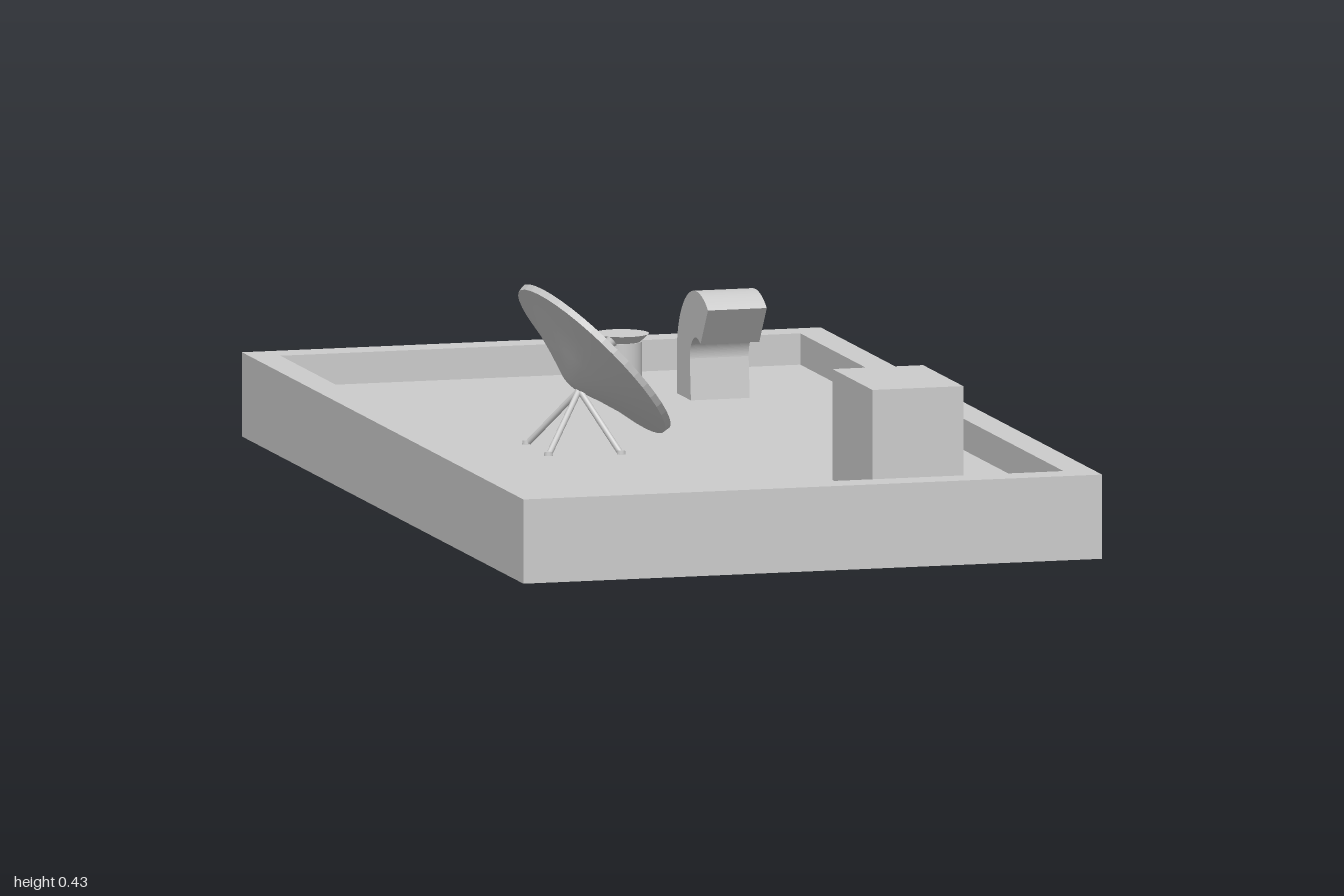
import * as THREE from 'three';

const FLOOR = 0.105;
const mat = new THREE.MeshStandardMaterial({ color: 0xcccccc });
const flat = new THREE.MeshStandardMaterial({ color: 0xcccccc, flatShading: true });
const UP = new THREE.Vector3(0, 1, 0);

function add(parent, name, geometry, material = mat) {
  const mesh = new THREE.Mesh(geometry, material);
  mesh.name = name;
  parent.add(mesh);
  return mesh;
}

// Box given by its lower and upper corners
function box(parent, name, [x0, y0, z0], [x1, y1, z1]) {
  const m = add(parent, name, new THREE.BoxGeometry(x1 - x0, y1 - y0, z1 - z0), flat);
  m.position.set((x0 + x1) / 2, (y0 + y1) / 2, (z0 + z1) / 2);
}

// Straight rod between two points
function rod(parent, name, a, b, ra, rb = ra) {
  const d = b.clone().sub(a);
  const m = add(parent, name, new THREE.CylinderGeometry(rb, ra, d.length(), 10));
  m.position.copy(a).addScaledVector(d, 0.5);
  m.quaternion.setFromUnitVectors(UP, d.normalize());
}

function rectangle(path, x, y) {
  path.moveTo(-x, -y);
  path.lineTo(x, -y);
  path.lineTo(x, y);
  path.lineTo(-x, y);
  path.closePath();
  return path;
}

function roof() {
  const g = new THREE.Group();
  g.name = 'roof';
  box(g, 'roofSlab', [-0.59, 0, -1], [0.59, FLOOR, 1]);
  // Parapet around the edge
  const ring = rectangle(new THREE.Shape(), 0.59, 1);
  ring.holes.push(rectangle(new THREE.Path(), 0.53, 0.935));
  const geo = new THREE.ExtrudeGeometry(ring, { depth: 0.167 - FLOOR, bevelEnabled: false });
  geo.rotateX(-Math.PI / 2).translate(0, FLOOR, 0);
  add(g, 'parapet', geo, flat);
  return g;
}

// Stair hut with a recessed doorway at the back
function stairHut() {
  const g = new THREE.Group();
  g.name = 'stairHut';
  const top = 0.315;
  box(g, 'hutBody', [0.175, FLOOR, 0.575], [0.36, top, 0.815]);
  box(g, 'hutRoof', [0.175, top, 0.53], [0.36, 0.325, 0.815]);
  box(g, 'leftJamb', [0.32, FLOOR, 0.53], [0.36, top, 0.575]);
  box(g, 'rightJamb', [0.175, FLOOR, 0.53], [0.19, top, 0.575]);
  return g;
}

// Curved rectangular air duct, drawn from the side and extruded across x
function airDuct() {
  const cz = -0.505, cy = 0.187, ro = 0.14, ri = 0.048, end = 0.95;
  const s = new THREE.Shape();
  s.moveTo(cz - ro, FLOOR);
  s.lineTo(cz - ri + 0.008, FLOOR);
  s.absarc(cz, cy, ri, Math.PI, end, true);
  s.absarc(cz, cy, ro, end, Math.PI, false);
  s.closePath();
  const geo = new THREE.ExtrudeGeometry(s, { depth: 0.12, bevelEnabled: false, curveSegments: 20 });
  // Shape x becomes z, extrusion runs towards -x
  geo.rotateY(-Math.PI / 2).translate(0.315, 0, 0);
  const g = new THREE.Group();
  add(g, 'airDuct', geo);
  return g;
}

// Round vent with flared cap
function ventPipe() {
  const g = new THREE.Group();
  g.name = 'ventPipe';
  g.position.set(0.065, 0, -0.585);
  const pipe = add(g, 'pipe', new THREE.CylinderGeometry(0.04, 0.04, 0.222 - FLOOR, 32));
  pipe.position.y = (0.222 + FLOOR) / 2;
  const cap = add(g, 'flaredCap', new THREE.CylinderGeometry(0.054, 0.036, 0.017, 32));
  cap.position.y = 0.2295;
  return g;
}

function satelliteDish() {
  const g = new THREE.Group();
  g.name = 'satelliteDish';
  const axis = new THREE.Vector3(0.74, 0.665, -0.1).normalize();

  // Tilted reflector with its feed
  const head = new THREE.Group();
  head.name = 'dishHead';
  head.position.set(-0.153, 0.285, -0.005);
  head.quaternion.setFromUnitVectors(UP, axis);
  const pts = (list) => list.map(([r, y]) => new THREE.Vector2(r, y));
  add(head, 'dishBack', new THREE.LatheGeometry(
    pts([[0, -0.074], [0.022, -0.073], [0.08, -0.05], [0.14, -0.029], [0.198, -0.013]]), 40));
  add(head, 'dishRim', new THREE.LatheGeometry(
    pts([[0.198, -0.013], [0.2, 0], [0.194, 0]]), 40), flat);
  const bowl = [];
  for (let i = 0; i <= 10; i++) {
    const r = 0.194 * (1 - i / 10);
    bowl.push([r, -0.045 * (1 - (r / 0.194) ** 2)]);
  }
  add(head, 'dishBowl', new THREE.LatheGeometry(pts(bowl), 40));
  rod(head, 'feedArm', new THREE.Vector3(0, -0.05, 0), new THREE.Vector3(0, 0.035, 0), 0.006);
  rod(head, 'feedHorn', new THREE.Vector3(0, 0.03, 0), new THREE.Vector3(0, 0.045, 0), 0.008, 0.013);
  g.add(head);

  // Tripod
  const hub = new THREE.Vector3(-0.19, 0.222, 0.003);
  for (const [x, z] of [[-0.272, -0.085], [-0.272, 0.07], [-0.13, 0.092]]) {
    rod(g, 'tripodLeg', new THREE.Vector3(x, FLOOR, z), hub, 0.006);
    const foot = add(g, 'tripodFoot', new THREE.CylinderGeometry(0.008, 0.009, 0.008, 12));
    foot.position.set(x, FLOOR + 0.004, z);
  }
  return g;
}

export function createModel() {
  const model = new THREE.Group();
  model.name = 'rooftop';
  model.add(roof(), stairHut(), airDuct(), ventPipe(), satelliteDish());
  return model;
}
